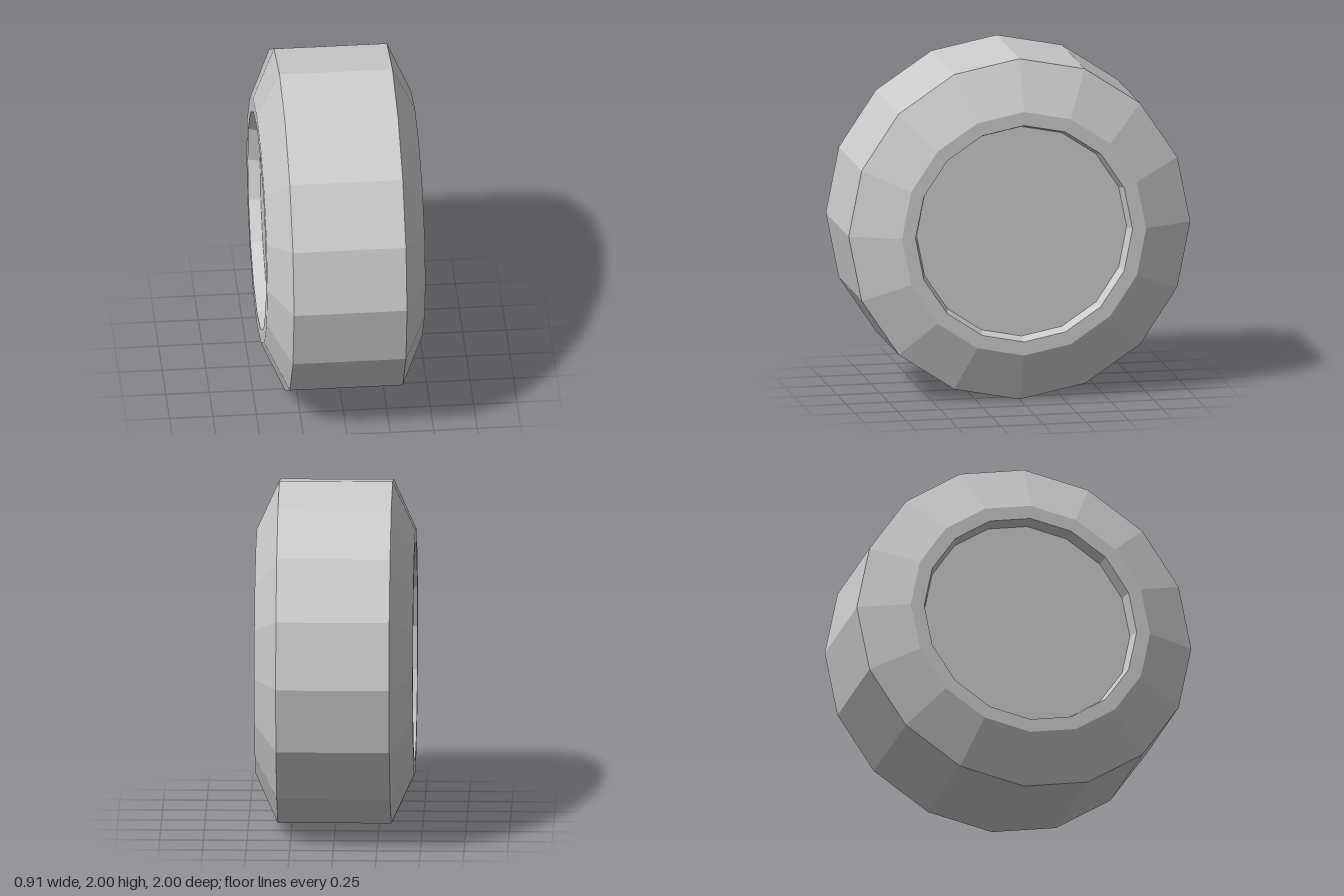
import * as THREE from 'three';

const SIDES = 16;
const HUB_RADIUS = 0.615;
const HUB_X = 0.385;

export function createModel() {
  const wheel = new THREE.Group();
  wheel.name = 'wheel';
  const material = new THREE.MeshStandardMaterial({ color: 0xcccccc, flatShading: true });

  // Tyre: tread, chamfered shoulders, flat lips and tapered recess walls
  const half = [[HUB_RADIUS, HUB_X], [0.635, 0.455], [0.715, 0.455], [1, 0.325]];
  const profile = [
    ...half.map(([r, x]) => new THREE.Vector2(r, -x)),
    ...half.map(([r, x]) => new THREE.Vector2(r, x)).reverse(),
  ];
  const tyre = new THREE.Mesh(new THREE.LatheGeometry(profile, SIDES).rotateZ(-Math.PI / 2), material);
  tyre.name = 'tyre';
  wheel.add(tyre);

  // Recessed hub disc on each side
  for (const [side, name] of [[1, 'leftHub'], [-1, 'rightHub']]) {
    const disc = new THREE.CircleGeometry(HUB_RADIUS, SIDES).rotateY(side * Math.PI / 2);
    const hub = new THREE.Mesh(disc, material);
    hub.position.x = side * HUB_X;
    hub.name = name;
    wheel.add(hub);
  }

  wheel.position.y = 1;
  const model = new THREE.Group();
  model.add(wheel);
  return model;
}
